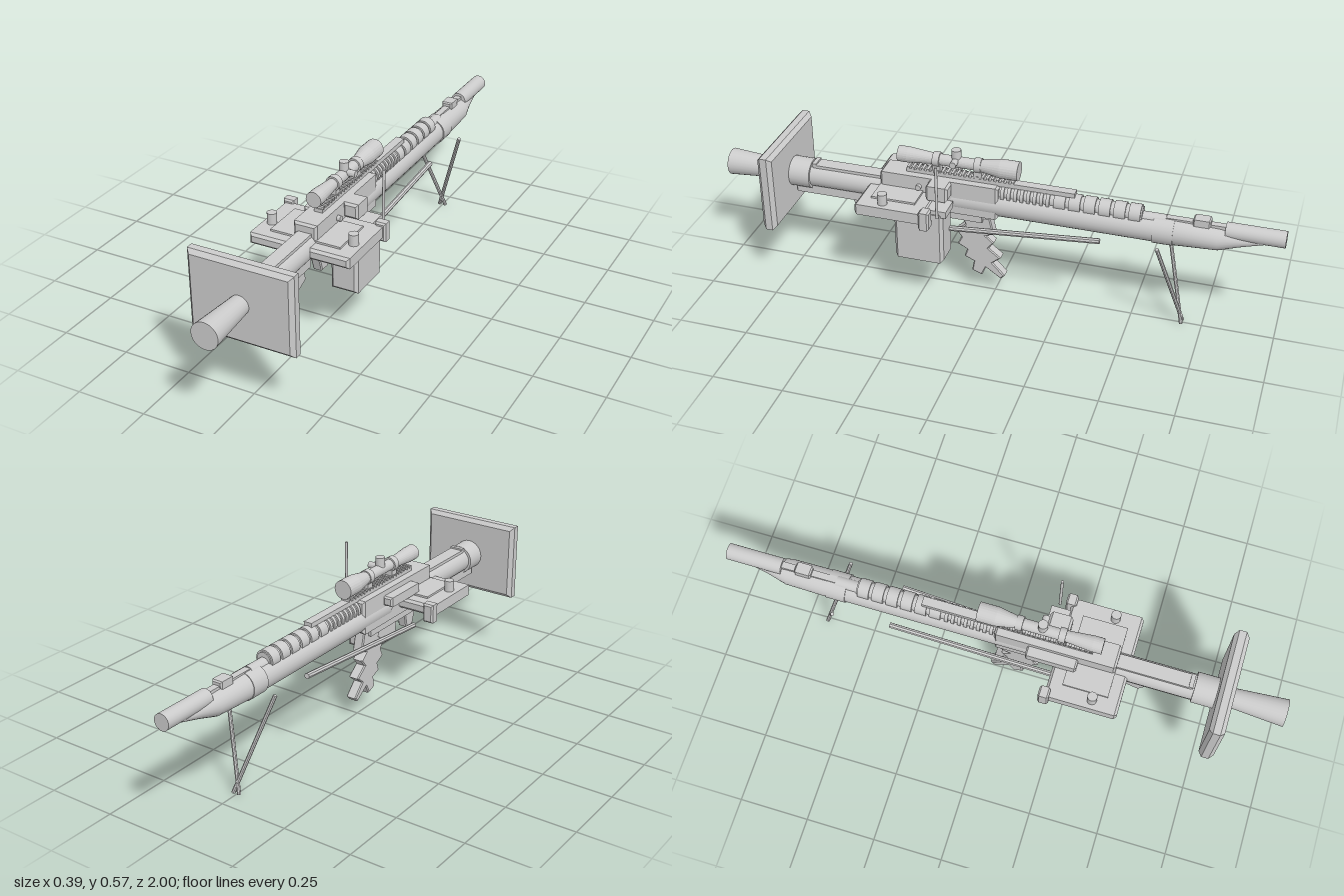
import * as THREE from 'three';

const AXIS = 0.37; // height of the main tube's centre line
const mat = new THREE.MeshStandardMaterial({ color: 0xcccccc, flatShading: true });
const smooth = new THREE.MeshStandardMaterial({ color: 0xcccccc });

export function createModel() {
  const root = new THREE.Group();

  const add = (name, geo, material = mat) => {
    const m = new THREE.Mesh(geo, material);
    m.name = name;
    root.add(m);
    return m;
  };

  // box from its extents
  const box = (name, x0, x1, y0, y1, z0, z1) => {
    const m = add(name, new THREE.BoxGeometry(x1 - x0, y1 - y0, z1 - z0));
    m.position.set((x0 + x1) / 2, (y0 + y1) / 2, (z0 + z1) / 2);
    return m;
  };

  // box with chamfered edges
  const chamferBox = (name, x0, x1, y0, y1, z0, z1, c) => {
    const w = (x1 - x0) / 2 - c, h = (y1 - y0) / 2 - c;
    const s = new THREE.Shape([[-w, -h], [w, -h], [w, h], [-w, h]].map(p => new THREE.Vector2(...p)));
    const g = new THREE.ExtrudeGeometry(s, {
      depth: z1 - z0 - 2 * c, bevelEnabled: true, bevelThickness: c, bevelSize: c, bevelSegments: 1,
    });
    const m = add(name, g);
    m.position.set((x0 + x1) / 2, (y0 + y1) / 2, z0 + c);
    return m;
  };

  // cylinder along z: r0 at z0, r1 at z1
  const tube = (name, r0, r1, z0, z1, y = AXIS, x = 0, sides = 24) => {
    const g = new THREE.CylinderGeometry(r1, r0, z1 - z0, sides).rotateX(Math.PI / 2);
    const m = add(name, g, smooth);
    m.position.set(x, y, (z0 + z1) / 2);
    return m;
  };

  const upright = (name, r, x, y0, y1, z) => {
    const m = add(name, new THREE.CylinderGeometry(r, r, y1 - y0, 16), smooth);
    m.position.set(x, (y0 + y1) / 2, z);
    return m;
  };

  // round rod between two points
  const rod = (name, a, b, r, sides = 8) => {
    const p = new THREE.Vector3(...a), q = new THREE.Vector3(...b), d = q.clone().sub(p);
    const m = add(name, new THREE.CylinderGeometry(r, r, d.length(), sides));
    m.position.copy(p).add(q).multiplyScalar(0.5);
    m.quaternion.setFromUnitVectors(new THREE.Vector3(0, 1, 0), d.normalize());
    return m;
  };

  // side outline given as [z, y], extruded across x
  const profile = (name, pts, width, x = 0, bevel = 0.004) => {
    const s = new THREE.Shape(pts.map(([z, y]) => new THREE.Vector2(-z, y)));
    const g = new THREE.ExtrudeGeometry(s, {
      depth: width - 2 * bevel, bevelEnabled: true, bevelThickness: bevel,
      bevelSize: bevel, bevelOffset: -bevel, bevelSegments: 1,
    });
    g.translate(0, 0, -width / 2 + bevel).rotateY(Math.PI / 2);
    const m = add(name, g);
    m.position.x = x;
    return m;
  };

  // shield plate with the tapered tube through it
  chamferBox('shield', -0.188, 0.188, 0.224, 0.512, 0.757, 0.81, 0.014);
  tube('endTube', 0.034, 0.048, 0.8, 1.0, 0.367);
  tube('collar', 0.054, 0.054, 0.68, 0.76);

  // main tube
  tube('rearTube', 0.045, 0.045, 0.38, 0.69);
  tube('barrelJacket', 0.047, 0.047, -0.58, 0.15);
  tube('jacketBand', 0.051, 0.051, -0.63, -0.56);
  box('rearTopStrip', -0.025, 0.025, 0.4, 0.418, 0.4, 0.67);
  box('rearCatch', -0.025, 0.025, 0.41, 0.424, 0.66, 0.675);
  chamferBox('rearUnderRail', -0.025, 0.025, 0.3, 0.34, 0.41, 0.745, 0.006);
  profile('rearGrip', [[0.53, 0.3], [0.515, 0.262], [0.5, 0.236], [0.435, 0.262], [0.45, 0.305]], 0.036);

  // tapered nose: rings narrow and rise towards the muzzle
  const nose = tube('nose', 1, 1, -0.96, -0.62, 0);
  const np = new THREE.CylinderGeometry(1, 1, 1, 24, 3).rotateX(Math.PI / 2);
  const rings = [[-0.96, 0.012, 0.383, 0.395], [-0.85, 0.03, 0.352, 0.405],
    [-0.78, 0.047, 0.33, 0.414], [-0.62, 0.049, 0.321, 0.419]];
  const pos = np.attributes.position;
  for (let i = 0; i < pos.count; i++) {
    const [z, rx, lo, hi] = rings[Math.round((pos.getZ(i) + 0.5) * 3)];
    pos.setXYZ(i, pos.getX(i) * rx, (lo + hi) / 2 + pos.getY(i) * (hi - lo) / 2, z);
  }
  np.computeVertexNormals();
  nose.geometry = np;
  nose.position.set(0, 0, 0);
  tube('muzzle', 0.029, 0.029, -1.0, -0.8, 0.405);
  box('noseStrip', -0.012, 0.012, 0.4, 0.423, -0.8, -0.6);
  chamferBox('frontSight', -0.02, 0.02, 0.412, 0.438, -0.75, -0.69, 0.005);

  // ribbed upper handguard
  tube('handguardCore', 0.027, 0.027, -0.52, 0.0, 0.417);
  for (let i = 0; i < 6; i++) tube('wideRib', 0.034, 0.034, -0.515 + i * 0.052, -0.475 + i * 0.052, 0.416);
  for (let i = 0; i < 9; i++) tube('narrowRib', 0.034, 0.034, -0.2 + i * 0.023, -0.188 + i * 0.023, 0.416);
  tube('handguardCap', 0.022, 0.022, -0.6, -0.52, 0.405);

  // receiver
  chamferBox('receiver', -0.043, 0.043, 0.325, 0.449, -0.02, 0.41, 0.008);
  box('receiverLower', -0.032, 0.032, 0.295, 0.33, 0.04, 0.36);
  profile('lowerWedge', [[0.36, 0.33], [0.33, 0.235], [0.29, 0.235], [0.27, 0.33]], 0.036);
  chamferBox('boltCover', -0.078, -0.04, 0.395, 0.43, 0.1, 0.28, 0.006);
  chamferBox('sideUnit', 0.04, 0.095, 0.395, 0.45, 0.145, 0.225, 0.008);
  rod('sideButton', [0.04, 0.412, 0.265], [0.056, 0.412, 0.265], 0.01, 16);

  // sight rail with teeth
  box('sightRail', -0.016, 0.016, 0.445, 0.462, -0.285, 0.32);
  for (let z = -0.07; z < 0.31; z += 0.018) box('railTooth', -0.018, 0.018, 0.46, 0.47, z, z + 0.009);

  // telescopic sight
  const scopePts = [[0, 0.35], [0.028, 0.35], [0.028, 0.315], [0.02, 0.225], [0.02, 0.06],
    [0.034, -0.02], [0.034, -0.085], [0, -0.085]];
  const scope = add('scope', new THREE.LatheGeometry(
    scopePts.reverse().map(([r, z]) => new THREE.Vector2(r, z)), 24).rotateX(Math.PI / 2),
  new THREE.MeshStandardMaterial({ color: 0xcccccc, flatShading: true, side: THREE.DoubleSide }));
  scope.position.y = 0.508;
  for (const z of [0.06, 0.21]) {
    tube('scopeRing', 0.026, 0.026, z - 0.012, z + 0.012, 0.508);
    box('scopeMount', -0.014, 0.014, 0.455, 0.49, z - 0.014, z + 0.014);
  }
  upright('scopeTopKnob', 0.017, 0, 0.515, 0.556, 0.14);
  rod('scopeSideKnob', [0.01, 0.517, 0.14], [0.045, 0.517, 0.14], 0.012, 12);

  // side shelf, mirrored details
  chamferBox('shelf', -0.185, 0.185, 0.35, 0.39, 0.2, 0.455, 0.009);
  box('shelfPanel', -0.13, 0.13, 0.385, 0.397, 0.25, 0.41);
  for (const s of [-1, 1]) {
    chamferBox('shelfKnob', s * 0.175 - 0.02, s * 0.175 + 0.02, 0.333, 0.402, 0.18, 0.218, 0.006);
    upright('shelfPost', 0.017, s * 0.153, 0.38, 0.43, 0.36);
    // slanted side rods
    rod('sideRod', [s * 0.062, 0.262, 0.27], [s * 0.073, 0.328, -0.39], 0.01);
    // crossing support legs
    rod('supportLeg', [s * 0.1, 0.35, -0.59], [s * -0.012, 0.002, -0.68], 0.007);
  }

  // magazine and antenna
  chamferBox('magazine', 0.045, 0.145, 0.174, 0.37, 0.147, 0.325, 0.011);
  box('magazineCap', 0.06, 0.14, 0.36, 0.385, 0.135, 0.21);
  upright('antenna', 0.005, 0.159, 0.37, 0.57, 0.16);

  // stepped grip
  profile('grip', [[0.12, 0.31], [0.105, 0.27], [0.14, 0.24], [0.12, 0.215], [0.135, 0.185], [0.1, 0.165],
    [0.11, 0.135], [0.075, 0.12], [0.082, 0.08], [0.045, 0.066], [0.03, 0.1], [-0.025, 0.062],
    [-0.04, 0.078], [0.005, 0.125], [-0.025, 0.15], [0.02, 0.185], [0.0, 0.21], [0.03, 0.235],
    [0.0, 0.245], [0.015, 0.31]], 0.04);

  return root;
}
